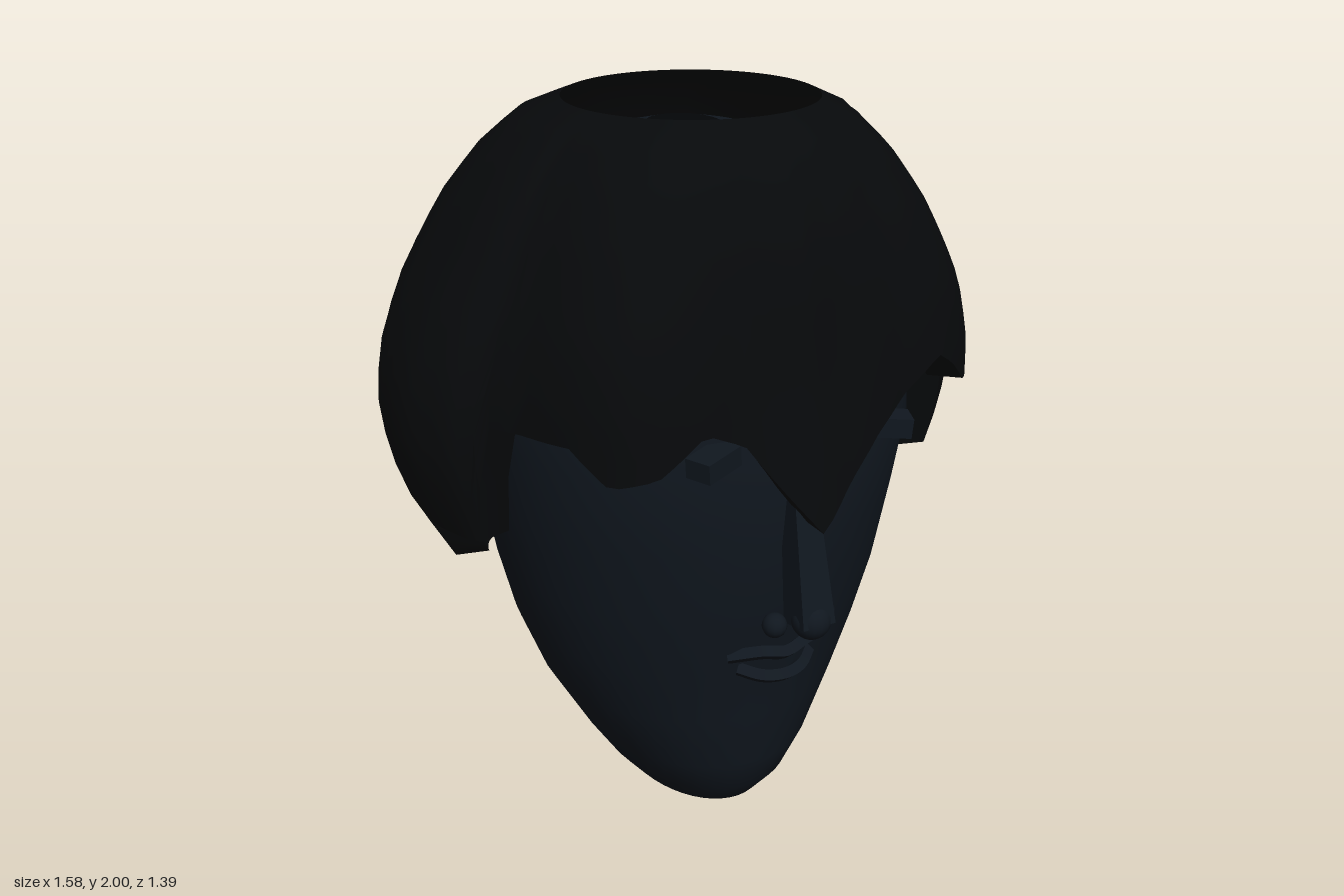
import * as THREE from 'three';
import { toCreasedNormals } from 'three/addons/utils/BufferGeometryUtils.js';

const skin = new THREE.MeshStandardMaterial({ color: 0x10171f, side: THREE.DoubleSide });
const hairMat = new THREE.MeshStandardMaterial({ color: 0x07090b, side: THREE.DoubleSide });

// Linear lookup in a list of [key, value, ...] rows with ascending keys
function lookup(rows, key, col = 1) {
  if (key <= rows[0][0]) return rows[0][col];
  for (let i = 1; i < rows.length; i++) {
    const a = rows[i - 1], b = rows[i];
    if (key <= b[0]) return a[col] + (b[col] - a[col]) * (key - a[0]) / (b[0] - a[0]);
  }
  return rows[rows.length - 1][col];
}

// Skin a series of closed rings (each listed counter-clockwise from above, going upwards)
function loft(rings, crease) {
  const n = rings[0].length, index = [];
  for (let r = 0; r < rings.length - 1; r++) {
    for (let i = 0; i < n; i++) {
      const j = (i + 1) % n, a = r * n + i, b = r * n + j;
      index.push(a, b, b + n, a, b + n, a + n);
    }
  }
  const geo = new THREE.BufferGeometry();
  geo.setAttribute('position', new THREE.Float32BufferAttribute(rings.flat(2), 3));
  geo.setIndex(index);
  return toCreasedNormals(geo, crease);
}

function add(group, name, geo, mat, x = 0, y = 0, z = 0) {
  const mesh = new THREE.Mesh(geo, mat);
  mesh.name = name;
  mesh.position.set(x, y, z);
  group.add(mesh);
  return mesh;
}

// Head levels: y, half width, front z, back z
const headRows = [
  [0, 0.001, 0.051, 0.049], [0.04, 0.1, 0.2, -0.14], [0.1, 0.185, 0.32, -0.25],
  [0.18, 0.25, 0.385, -0.295], [0.28, 0.315, 0.42, -0.335], [0.45, 0.41, 0.447, -0.405],
  [0.62, 0.475, 0.485, -0.455], [0.8, 0.52, 0.53, -0.49], [1, 0.555, 0.565, -0.525],
  [1.2, 0.57, 0.575, -0.55], [1.4, 0.57, 0.555, -0.55], [1.6, 0.51, 0.5, -0.5],
  [1.75, 0.42, 0.42, -0.41], [1.85, 0.3, 0.3, -0.29], [1.91, 0.18, 0.2, -0.18],
  [1.93, 0.09, 0.12, -0.1],
];

function headGeometry() {
  const rings = headRows.map(([y, w, f, b]) => {
    return Array.from({ length: 48 }, (_, i) => {
      const t = i / 48 * Math.PI * 2, s = Math.sin(t), c = Math.cos(t);
      // squarer at brow level and behind, rounder at the cheeks
      const power = y > 1.1 && y < 1.5 ? 0.9 : c < 0 ? 0.92 : 1;
      const bend = (v) => Math.sign(v) * Math.abs(v) ** power;
      return [w * bend(s), y, (f + b) / 2 + (f - b) / 2 * bend(c)];
    });
  });
  return loft(rings, 0.7);
}

// Widest hair outline in plan: x, z, going round from the back over -x to the front and +x
const outline = [
  [-0.08, -0.7], [-0.2, -0.68], [-0.4, -0.58], [-0.6, -0.43], [-0.73, -0.29], [-0.78, -0.19],
  [-0.79, 0.05], [-0.73, 0.18], [-0.65, 0.23], [-0.6, 0.32], [-0.52, 0.49], [-0.46, 0.56],
  [-0.37, 0.6], [-0.18, 0.62], [-0.08, 0.67], [0, 0.69], [0.1, 0.66], [0.3, 0.59],
  [0.42, 0.56], [0.55, 0.49], [0.62, 0.4], [0.68, 0.23], [0.75, 0.18], [0.785, 0],
  [0.785, -0.18], [0.75, -0.28], [0.65, -0.4], [0.5, -0.5], [0.3, -0.59], [0.05, -0.69],
];
const polar = outline.map(([x, z]) => [Math.atan2(x, z) * 180 / Math.PI, Math.hypot(x, z)])
  .sort((a, b) => a[0] - b[0]);
polar.unshift([-180, 0.695]);
polar.push([180, 0.695]);

// Lower hair edge: angle from the front in degrees, y
const hem = [
  [-180, 0.71], [-145, 0.72], [-120, 0.77], [-101, 0.81], [-95, 1], [-75, 1], [-70, 1.32],
  [-50, 1.33], [-42, 1.25], [-33, 1.27], [-24, 1.36], [-15, 1.31], [0, 1.09], [18, 1.28],
  [30, 1.37], [37, 1.42], [42, 1.38], [48, 1.31], [70, 1.31], [75, 0.99], [95, 0.99],
  [101, 0.81], [120, 0.77], [145, 0.72], [180, 0.71],
];

// Swell from the crown opening (0) to the widest outline (1): y, side, back, front
const swell = [
  [0.71, 0.52, 0.64, 1], [0.8, 0.63, 0.71, 1], [1, 0.86, 0.89, 1], [1.12, 0.95, 0.98, 1],
  [1.25, 1, 1, 0.92], [1.4, 0.97, 0.97, 0.82], [1.55, 0.84, 0.89, 0.75],
  [1.65, 0.71, 0.81, 0.71], [1.76, 0.57, 0.68, 0.63], [1.88, 0.38, 0.48, 0.47],
  [1.96, 0.2, 0.27, 0.25], [2, 0, 0, 0],
];

function hairGeometry() {
  const angles = [];
  for (let a = -180; a < 180; a += 2.5) angles.push(a);
  const point = (deg, y, thickness) => {
    const t = deg * Math.PI / 180, c = Math.cos(t), s = Math.sin(t);
    const w = c > 0 ? c ** 8 : c * c;
    let f = lookup(swell, y, 1) * (1 - w) + lookup(swell, y, c > 0 ? 3 : 2) * w;
    // fuller on the diagonals
    f += 0.7 * f * f * (1 - f) * Math.sin(2 * t) ** 2;
    const hole = 0.322 + 0.015 * s + 0.012 * c;
    const r = hole + (lookup(polar, deg) - hole) * f - thickness;
    return [r * s, y, r * c];
  };
  const rows = 18, rings = [];
  // inner wall downwards, then outer wall upwards
  const level = (k, thickness) => angles.map((deg) => {
    const low = lookup(hem, deg), t = k / rows;
    return point(deg, low + (2 - low) * (1 - (1 - t) ** 1.5), thickness * (1 - t ** 3));
  });
  for (let k = rows; k >= 0; k--) rings.push(level(k, 0.09));
  for (let k = 0; k <= rows; k++) rings.push(level(k, 0));
  return loft(rings, 0.8);
}

// Lip: a thin square bar bent around the face
function lipGeometry(points) {
  const curve = new THREE.CatmullRomCurve3(points.map((p) => new THREE.Vector3(...p)));
  return toCreasedNormals(new THREE.TubeGeometry(curve, 20, 0.02, 4), 0.5);
}

export function createModel() {
  const model = new THREE.Group();
  model.name = 'head';
  add(model, 'face', headGeometry(), skin);
  add(model, 'hair', hairGeometry(), hairMat);

  // Nose: slanted tapering four-sided bridge, tip and nostrils
  const nose = new THREE.Group();
  nose.name = 'nose';
  nose.position.x = 0.005;
  model.add(nose);
  const bridgeGeo = new THREE.CylinderGeometry(0.045, 0.065, 0.34, 4).rotateY(Math.PI / 4);
  const bridge = add(nose, 'noseBridge', toCreasedNormals(bridgeGeo, 0.5), skin, 0, 0.99, 0.605);
  bridge.rotation.x = -0.2;
  add(nose, 'noseTip', new THREE.SphereGeometry(0.05, 16, 12), skin, 0, 0.835, 0.645);

  for (const side of [-1, 1]) {
    add(nose, 'nostril', new THREE.SphereGeometry(0.032, 12, 10), skin, side * 0.07, 0.81, 0.59);
    // Eyes: slim blocks whose outer corners come forward
    const eye = add(model, 'eye', new THREE.BoxGeometry(0.12, 0.05, 0.07), skin, side * 0.24 + 0.01, 1.278, 0.57);
    eye.rotation.set(0, side * -0.4, side * -0.08);
    add(model, 'earStud', new THREE.SphereGeometry(0.032, 12, 10), skin, side * 0.59, 0.965, -0.04);
  }

  // Mouth
  add(model, 'upperLip', lipGeometry([[-0.13, 0.675, 0.475], [-0.05, 0.69, 0.52], [0.005, 0.682, 0.532],
    [0.06, 0.69, 0.52], [0.14, 0.675, 0.475]]), skin);
  add(model, 'lowerLip', lipGeometry([[-0.1, 0.632, 0.475], [-0.05, 0.618, 0.515], [0.005, 0.615, 0.53],
    [0.06, 0.618, 0.515], [0.11, 0.632, 0.475]]), skin);
  return model;
}
